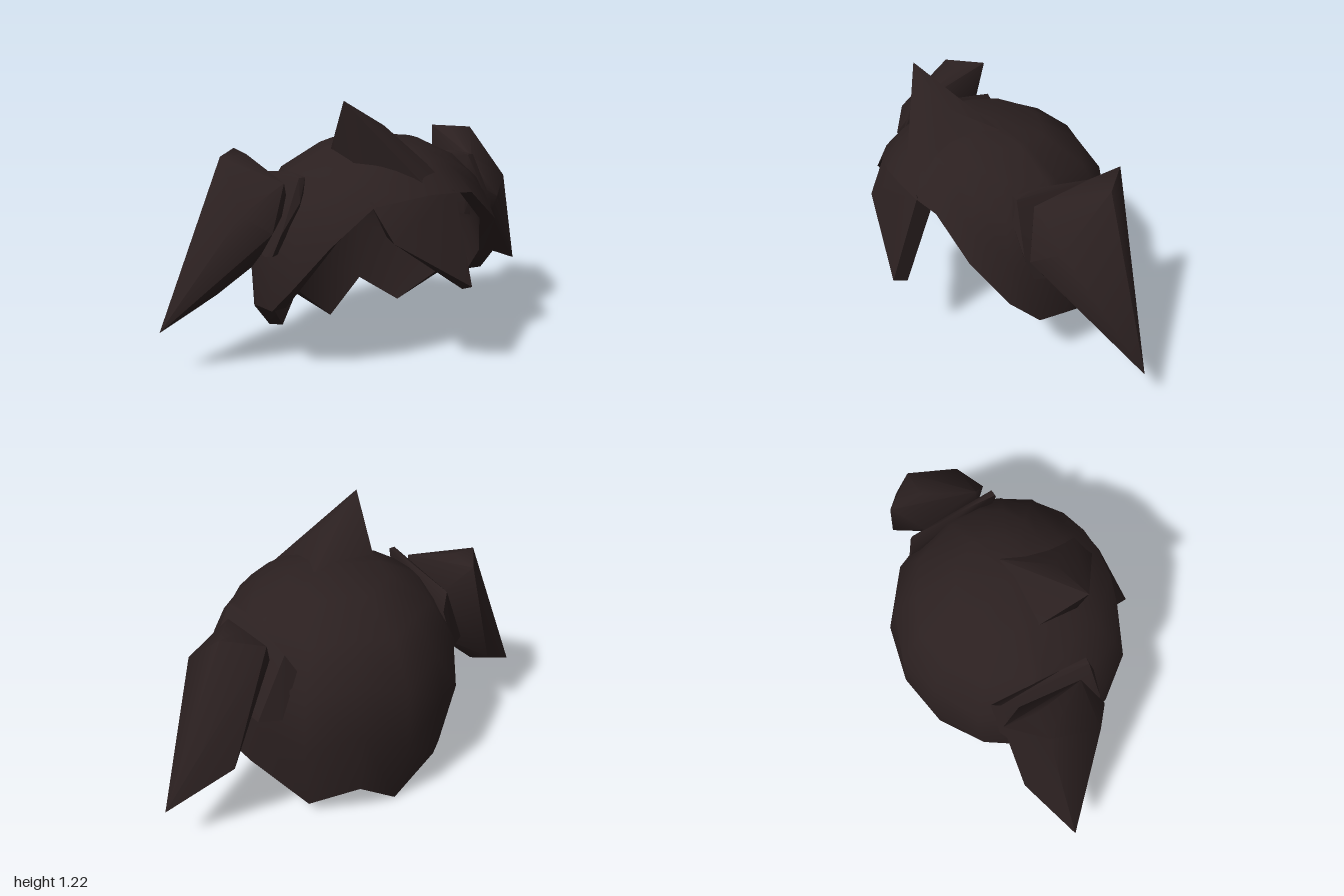
import * as THREE from 'three';
import { mergeVertices, toCreasedNormals } from 'three/addons/utils/BufferGeometryUtils.js';
import { ConvexGeometry } from 'three/addons/geometries/ConvexGeometry.js';

const hair = new THREE.MeshStandardMaterial({ color: 0x2b2020 });
hair.name = 'dark brown hair';

// Hem of the cap on one side: [degrees from the front, height]
const HEM = [[0, 0.83], [16, 0.82], [32, 0.8], [51, 0.64], [68, 0.44], [82, 0.305], [97, 0.285],
  [104, 0.26], [132, 0.06], [157, 0.17], [180, 0]];
const ROWS = 5;

// Full ring of hem points, mirrored to the other side and closed
const ring = [...HEM, ...HEM.slice(0, -1).reverse().map(([a, y]) => [360 - a, y])];

// Point on the skull shape: t runs from crown (0) to hem (1)
function capPoint([deg, hemY], t, inset) {
  const c = hemY > 0.45 ? Math.pow((hemY - 0.45) / 0.565, 1 / 0.9) : (hemY - 0.45) / 0.863;
  const phi = Math.acos(c) * t;
  const cos = Math.cos(phi), sin = Math.sin(phi);
  const a = THREE.MathUtils.degToRad(deg);
  // slightly wider over the ears
  const r = (0.57 + 0.02 * Math.sin(a) ** 2 - inset) * (cos > 0 ? Math.pow(sin, 0.9) : sin);
  const y = 0.45 + (cos > 0 ? 0.565 * Math.pow(cos, 0.9) : 0.863 * cos) - inset * Math.max(0, 1 - t);
  return [r * Math.sin(a), y, r * Math.cos(a)];
}

// Surface through columns of points, each column running downwards
function loft(columns) {
  const n = columns[0].length, index = [];
  for (let i = 0; i < columns.length - 1; i++) {
    for (let j = 0; j < n - 1; j++) {
      const a = i * n + j, d = a + n;
      index.push(a, a + 1, d + 1, a, d + 1, d);
    }
  }
  let g = new THREE.BufferGeometry();
  g.setAttribute('position', new THREE.Float32BufferAttribute(columns.flat(2), 3));
  g.setIndex(index);
  g = mergeVertices(g, 1e-4);
  g.computeVertexNormals();
  return g;
}

// Solid lock of hair around a few corner points
function lock(points, crease) {
  const g = new ConvexGeometry(points.map((p) => new THREE.Vector3(...p)));
  return toCreasedNormals(g, crease);
}

export function createModel() {
  const model = new THREE.Group();
  model.name = 'hair';
  const add = (name, geometry) => {
    const mesh = new THREE.Mesh(geometry, hair);
    mesh.name = name;
    model.add(mesh);
  };

  // Cap: outer surface, inner lining and the thick hem between them
  const steps = Array.from({ length: ROWS + 1 }, (_, j) => j / ROWS);
  add('capOuter', loft(ring.map((h) => steps.map((t) => capPoint(h, t, 0)))));
  add('capLining', loft(ring.map((h) => steps.map((t) => capPoint(h, t, 0.075)).reverse())));
  add('capHem', loft(ring.map((h) => [capPoint(h, 1, 0), capPoint(h, 1, 0.075)])));

  // Upswept tuft at the top front
  add('topTuft', lock([[-0.28, 1.22, 0.21], [0.1, 1.005, 0], [-0.23, 0.96, 0], [-0.06, 1.09, 0.18],
    [0, 0.86, 0.41], [0.13, 0.86, 0.38], [-0.22, 0.9, 0.2]], 1.2));

  // Slanted fringe lock over the forehead
  add('fringe', lock([[-0.26, 0.82, 0.38], [-0.24, 0.8, 0.41], [-0.21, 0.66, 0.49], [-0.2, 0.67, 0.42],
    [0.14, 0.43, 0.568], [0.14, 0.4, 0.5], [0.14, 0.83, 0.43], [0.14, 0.74, 0.37], [0, 0.86, 0.41]], 0.9));

  for (const [side, s] of [['left', 1], ['right', -1]]) {
    const mirror = (pts) => pts.map(([x, y, z]) => [s * x, y, z]);

    // Gathered knot where the bunch leaves the cap
    add(side + 'Knot', lock(mirror([[0.43, 0.9, 0.14], [0.43, 0.9, 0.02], [0.46, 0.9, 0.14],
      [0.47, 0.8, 0.165], [0.56, 0.67, 0.16], [0.59, 0.57, 0.13], [0.6, 0.56, 0.08],
      [0.4, 0.77, -0.3], [0.44, 0.85, -0.27], [0.48, 0.55, -0.3], [0.57, 0.55, -0.25],
      [0.45, 0.6, 0.1]]), 0.9));

    // Bunch flaring out to a pointed tip
    add(side + 'Bunch', lock(mirror([[0.68, 0.96, -0.17], [0.55, 0.96, -0.315], [0.56, 0.96, -0.16],
      [1.0, 0.21, -0.17], [0.72, 0.33, -0.18], [0.72, 0.4, -0.295], [0.705, 0.755, 0.075], [0.6, 0.68, 0.16],
      [0.5, 0.87, 0.08], [0.48, 0.77, 0.07], [0.47, 0.8, -0.2], [0.58, 0.46, -0.1], [0.62, 0.58, 0.09]]), 1.1));
  }
  return model;
}
